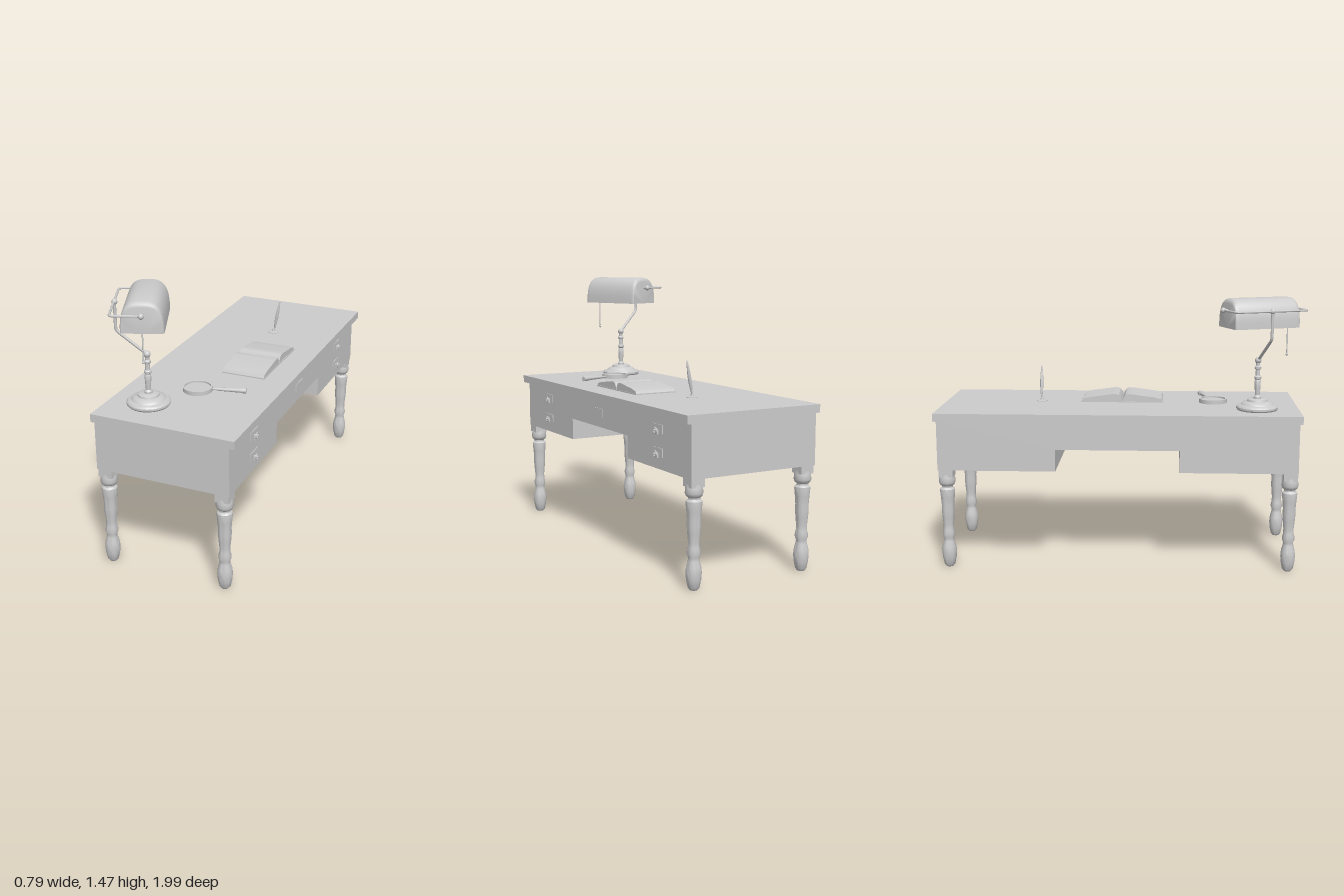
import * as THREE from 'three';
import { toCreasedNormals } from 'three/addons/utils/BufferGeometryUtils.js';

const grey = new THREE.MeshStandardMaterial({ color: 0xcccccc });
const greyDouble = new THREE.MeshStandardMaterial({ color: 0xcccccc, side: THREE.DoubleSide });
const V = (x, y, z) => new THREE.Vector3(x, y, z);

function add(parent, name, geo, x = 0, y = 0, z = 0, mat = grey) {
  const m = new THREE.Mesh(geo, mat);
  m.name = name;
  m.position.set(x, y, z);
  parent.add(m);
  return m;
}

function group(parent, name, x = 0, y = 0, z = 0) {
  const g = new THREE.Group();
  g.name = name;
  g.position.set(x, y, z);
  parent.add(g);
  return g;
}

const box = (w, h, d) => new THREE.BoxGeometry(w, h, d);
const ball = (r) => new THREE.SphereGeometry(r, 16, 12);
const lathe = (pts, seg = 24) =>
  toCreasedNormals(new THREE.LatheGeometry(pts.map(([r, y]) => new THREE.Vector2(r, y)), seg), 0.6);

// Straight round bar between two points
function rod(parent, name, a, b, r, r2 = r) {
  const m = add(parent, name, new THREE.CylinderGeometry(r2, r, a.distanceTo(b), 12));
  m.position.copy(a).lerp(b, 0.5);
  m.quaternion.setFromUnitVectors(V(0, 1, 0), b.clone().sub(a).normalize());
  return m;
}

// Profile drawn in (z, y), extruded along x
function sideExtrude(pts, x0, x1) {
  const shape = new THREE.Shape(pts.map(([z, y]) => new THREE.Vector2(-z, y)));
  const geo = new THREE.ExtrudeGeometry(shape, { depth: x1 - x0, bevelEnabled: false });
  return geo.rotateY(Math.PI / 2).translate(x0, 0, 0);
}

function buildDesk(root) {
  const desk = group(root, 'desk');
  add(desk, 'tabletop', box(0.78, 0.043, 1.968), 0.01, 0.8435, -0.016);
  add(desk, 'deskBody', sideExtrude([
    [0.953, 0.822], [0.953, 0.552], [0.322, 0.552], [0.322, 0.672],
    [-0.346, 0.672], [-0.346, 0.552], [-0.984, 0.552], [-0.984, 0.822],
  ], -0.367, 0.367));

  // Turned legs with a square post at the top
  const legGeo = lathe([
    [0, 0], [0.02, 0], [0.029, 0.012], [0.037, 0.05], [0.04, 0.085], [0.037, 0.115], [0.029, 0.145],
    [0.027, 0.16], [0.034, 0.18], [0.034, 0.19], [0.029, 0.21], [0.028, 0.24], [0.032, 0.28],
    [0.035, 0.32], [0.034, 0.35], [0.037, 0.39], [0.041, 0.43], [0.04, 0.44], [0.03, 0.45], [0.03, 0.458],
    [0.04, 0.466], [0.045, 0.48], [0.043, 0.505], [0.037, 0.53], [0.036, 0.56],
  ]);
  for (const x of [-0.323, 0.325]) for (const z of [0.914, -0.942]) {
    const leg = group(desk, 'leg', x, 0, z);
    add(leg, 'turnedLeg', legGeo);
    add(leg, 'legPost', box(0.076, 0.06, 0.076), 0, 0.54, 0);
  }

  // Drawer plates with hanging pulls
  for (const z of [0.645, -0.668]) for (const y of [0.755, 0.637]) {
    const pull = group(desk, 'drawerPull', 0.367, y, z);
    add(pull, 'pullPlate', box(0.006, 0.046, 0.098), 0.001);
    rod(pull, 'pullStem', V(0, -0.006, 0), V(0.028, -0.006, 0), 0.006);
    add(pull, 'pullBlock', box(0.008, 0.024, 0.036), 0.012, -0.014);
    add(pull, 'pullRing', new THREE.TorusGeometry(0.014, 0.004, 8, 20).rotateY(Math.PI / 2), 0.017, -0.008);
  }
  add(desk, 'keyPlate', box(0.006, 0.046, 0.102), 0.368, 0.753, -0.012);
}

// Arched lamp shade: arch sections lofted along z, open underneath
function shadeGeometry() {
  const sections = [
    [-0.189, 0, 0], [-0.189, 0.94, 0.84], [-0.186, 0.97, 0.92], [-0.178, 0.99, 0.975], [-0.165, 1, 1],
    [0.165, 1, 1], [0.178, 0.99, 0.975], [0.186, 0.97, 0.92], [0.189, 0.94, 0.84], [0.189, 0, 0],
  ];
  const n = 24, pos = [], idx = [];
  sections.forEach(([z, sx, sy], i) => {
    for (let j = 0; j <= n; j++) {
      const a = (j / n) * Math.PI, c = Math.cos(a);
      pos.push(0.107 * sx * Math.sign(c) * Math.abs(c) ** 0.65, 0.157 * sy * Math.abs(Math.sin(a)) ** 0.75, z);
      if (i && j) {
        const q = i * (n + 1) + j, p = q - n - 1;
        idx.push(p - 1, p, q, p - 1, q, q - 1);
      }
    }
  });
  const geo = new THREE.BufferGeometry();
  geo.setAttribute('position', new THREE.Float32BufferAttribute(pos, 3));
  geo.setIndex(idx.reverse());
  return toCreasedNormals(geo, 0.6);
}

function buildLamp(root) {
  const lamp = group(root, 'deskLamp', -0.17, 0, 0.74);
  lamp.rotation.y = 0.39;
  add(lamp, 'lampBase', lathe([
    [0, 0.865], [0.108, 0.865], [0.113, 0.872], [0.113, 0.882], [0.106, 0.89], [0.088, 0.894], [0.083, 0.9],
    [0.076, 0.907], [0.056, 0.912], [0.053, 0.922], [0.046, 0.926], [0, 0.926],
  ], 32));
  add(lamp, 'lampStem', lathe([
    [0.02, 0.92], [0.02, 0.935], [0.013, 0.945], [0.016, 0.99], [0.017, 1.02], [0.013, 1.03], [0.019, 1.036],
    [0.019, 1.046], [0.013, 1.052], [0.012, 1.085], [0.018, 1.09], [0.018, 1.1], [0.011, 1.106], [0.011, 1.135],
  ], 20));
  add(lamp, 'stemJoint', ball(0.018), 0, 1.135);

  // Bent arm and the yoke that carries the shade
  const tube = (name, pts, r) => {
    const path = new THREE.CurvePath();
    let last = pts[0];
    for (let i = 1; i < pts.length - 1; i++) {
      const p = pts[i], toward = (q) => p.clone().add(q.clone().sub(p).setLength(0.02));
      path.add(new THREE.LineCurve3(last, toward(pts[i - 1])));
      last = toward(pts[i + 1]);
      path.add(new THREE.QuadraticBezierCurve3(toward(pts[i - 1]), p, last));
    }
    path.add(new THREE.LineCurve3(last, pts[pts.length - 1]));
    add(lamp, name, new THREE.TubeGeometry(path, 80, r, 10));
  };
  tube('lampArm', [V(0, 1.135, 0), V(-0.15, 1.262, 0), V(-0.15, 1.41, 0)], 0.008);
  tube('shadeYoke', [V(0, 1.41, -0.212), V(-0.152, 1.41, -0.208), V(-0.152, 1.41, 0.208), V(0, 1.41, 0.212)], 0.006);
  add(lamp, 'armJoint', ball(0.015), -0.15, 1.41, 0);
  for (const s of [-1, 1]) {
    add(lamp, 'shadeKnob', ball(0.015), 0, 1.41, s * 0.213);
    rod(lamp, 'shadePivot', V(0, 1.41, s * 0.18), V(0, 1.41, s * 0.213), 0.006);
  }

  add(lamp, 'lampShade', shadeGeometry(), 0, 1.315, 0, greyDouble);
  rod(lamp, 'bulbSocket', V(0, 1.4, -0.186), V(0, 1.4, -0.11), 0.02);
  add(lamp, 'bulb', new THREE.CapsuleGeometry(0.026, 0.1, 6, 16).rotateX(Math.PI / 2), 0, 1.4, -0.04);
  rod(lamp, 'pullChain', V(0, 1.16, 0.172), V(0, 1.4, 0.172), 0.0035);
  add(lamp, 'chainBead', ball(0.007), 0, 1.16, 0.172);
}

function buildBook(root) {
  const book = group(root, 'openBook', 0, 0, -0.004);
  add(book, 'bookCover', box(0.246, 0.006, 0.468), 0.132, 0.868, 0);
  const page = [[0.0, 0.87], [0.008, 0.89], [0.018, 0.905], [0.032, 0.911], [0.06, 0.91],
    [0.13, 0.9], [0.18, 0.894], [0.222, 0.884], [0.23, 0.87]];
  for (const s of [1, -1]) {
    const pts = page.map(([z, y]) => [s * z, y]);
    add(book, 'pages', toCreasedNormals(sideExtrude(pts, 0.012, 0.252), 0.5));
  }
}

function buildMagnifier(root) {
  const glass = group(root, 'magnifier', -0.005, 0.884, 0.507);
  glass.rotation.y = 0.265;
  add(glass, 'lensRim', lathe([[0.069, -0.011], [0.078, -0.011], [0.078, 0.011], [0.069, 0.011], [0.069, -0.011]], 32));
  add(glass, 'lens', new THREE.CylinderGeometry(0.07, 0.07, 0.005, 32));
  rod(glass, 'handleNeck', V(0.076, 0, 0), V(0.12, 0, 0), 0.006);
  rod(glass, 'handle', V(0.1, 0, 0), V(0.225, 0, 0), 0.008, 0.012);
  rod(glass, 'handleCap', V(0.225, 0, 0), V(0.253, 0, 0), 0.014);
}

function buildPen(root) {
  const pen = group(root, 'penAndStand', 0.04, 0, -0.46);
  add(pen, 'penStand', lathe([[0, 0.864], [0.031, 0.864], [0.031, 0.868], [0.01, 0.872], [0.007, 0.886], [0, 0.886]]));
  const body = add(pen, 'pen', lathe([
    [0, 0], [0.003, 0.01], [0.007, 0.04], [0.0095, 0.08], [0.009, 0.12], [0.006, 0.16], [0.003, 0.19], [0, 0.196],
  ], 12), 0.002, 0.873, -0.004);
  body.rotation.z = -0.18;
}

export function createModel() {
  const root = new THREE.Group();
  root.name = 'writingDesk';
  buildDesk(root);
  buildLamp(root);
  buildBook(root);
  buildMagnifier(root);
  buildPen(root);
  return root;
}
